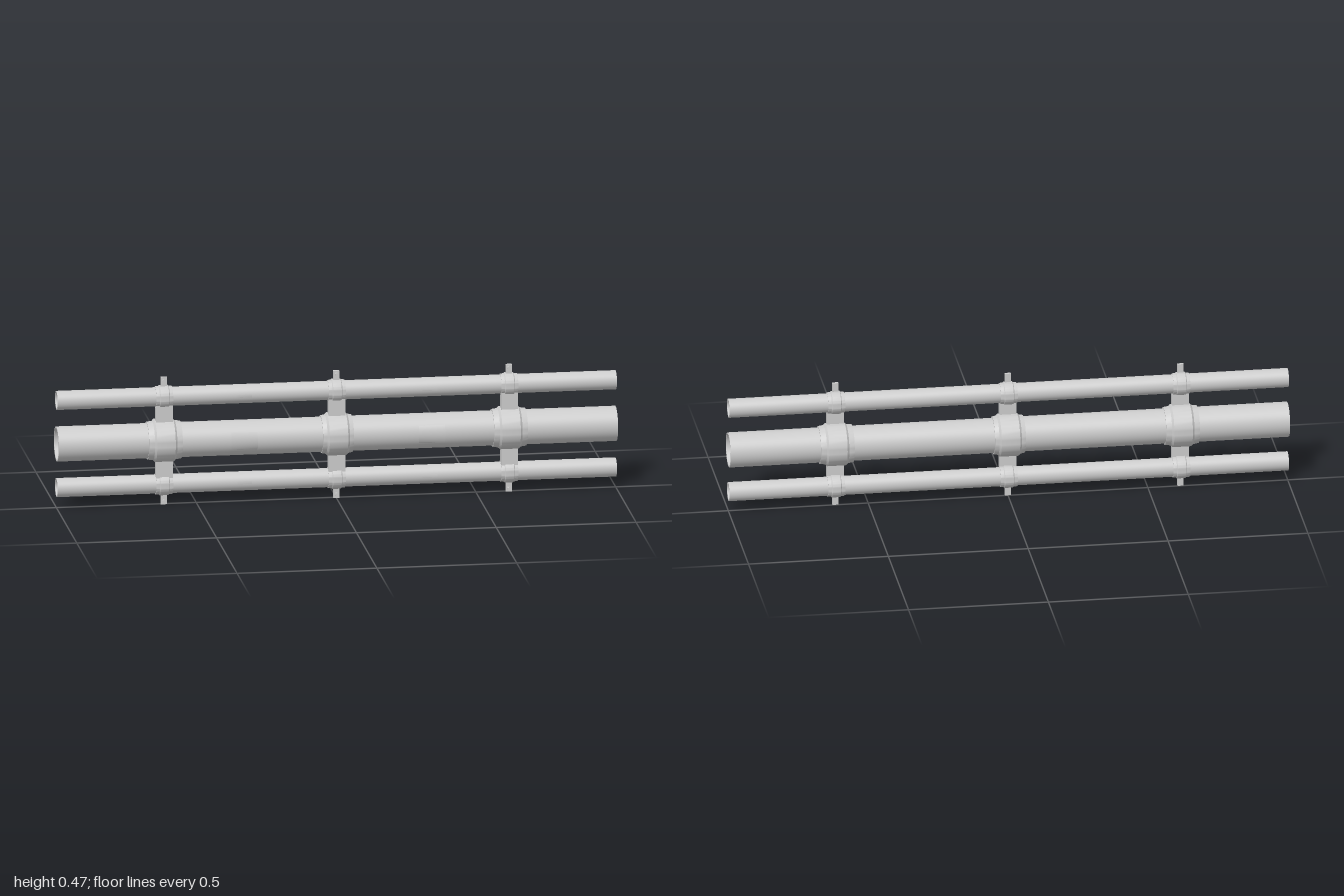
import * as THREE from 'three';
import { toCreasedNormals } from 'three/addons/utils/BufferGeometryUtils.js';

const MID = 0.2325; // height of the main pipe axis
const ARM = 0.1595; // distance from the main axis to each side pipe
const grey = new THREE.MeshStandardMaterial({ color: 0xcccccc, side: THREE.DoubleSide });

function add(parent, name, geometry) {
  const mesh = new THREE.Mesh(geometry, grey);
  mesh.name = name;
  parent.add(mesh);
  return mesh;
}

// open cylinder patch along x; angle 0 faces the front
function tubePatch(x0, x1, r0, r1, start = 0, sweep = Math.PI * 2) {
  const g = new THREE.CylinderGeometry(r1, r0, x1 - x0, 56, 1, true, start, sweep);
  return g.rotateZ(-Math.PI / 2).translate((x0 + x1) / 2, 0, 0);
}

// solid of revolution about x from [x, radius] pairs
function turned(profile) {
  const g = new THREE.LatheGeometry(profile.map(([x, r]) => new THREE.Vector2(r, x)), 56);
  return toCreasedNormals(g.rotateZ(-Math.PI / 2), 0.35);
}

// hollow pipe with two spring tongues pressed into its front wall
function pipe(name, y, rOut, rIn, xa, xb, angle, half) {
  const group = new THREE.Group();
  group.name = name;
  group.position.y = y;
  for (const [a, b] of [[-1, -xb], [-xa, xa], [xb, 1]]) {
    add(group, 'pipeWall', tubePatch(a, b, rOut, rOut));
  }
  const sunk = rIn + (rOut - rIn) * 0.15;
  for (const s of [-1, 1]) {
    const a = s < 0 ? -xb : xa, b = s < 0 ? -xa : xb;
    add(group, 'slottedWall', tubePatch(a, b, rOut, rOut, angle + half, Math.PI * 2 - 2 * half));
    add(group, 'tongue', tubePatch(a, b, s < 0 ? rOut : sunk, s < 0 ? sunk : rOut, angle - half, 2 * half));
  }
  add(group, 'bore', tubePatch(-1, 1, rIn, rIn));
  for (const s of [-1, 1]) {
    const rim = new THREE.RingGeometry(rIn, rOut, 56).rotateY(s * Math.PI / 2).translate(s, 0, 0);
    add(group, 'rim', rim);
  }
  return group;
}

// flat web whose ends follow the main and side collars
function webGeometry(width) {
  const depth = 0.027, rMain = 0.069, rSide = 0.038;
  const shape = new THREE.Shape();
  shape.absarc(0, 0, rMain, Math.PI / 2, Math.acos(depth / rMain), true);
  shape.absarc(0, ARM, rSide, -Math.acos(depth / rSide), -Math.PI / 2, true);
  shape.closePath();
  const g = new THREE.ExtrudeGeometry(shape, { depth: width, bevelEnabled: false, curveSegments: 12 });
  return toCreasedNormals(g.translate(0, 0, -width / 2).rotateY(-Math.PI / 2), 0.4);
}

// side pipe holder: web, collar, end tab and bolt
function holder() {
  const group = new THREE.Group();
  group.name = 'sideHolder';
  add(group, 'web', webGeometry(0.06));
  const collar = add(group, 'sideCollar', turned([
    [-0.03, 0.0335], [-0.03, 0.037], [-0.018, 0.038], [-0.015, 0.041],
    [0.015, 0.041], [0.018, 0.038], [0.03, 0.037], [0.03, 0.0335],
  ]));
  collar.position.y = ARM;
  const tab = add(group, 'endTab', new THREE.BoxGeometry(0.022, 0.0345, 0.01));
  tab.position.set(0, 0.21525, 0.005);
  const washer = add(group, 'washer', new THREE.CylinderGeometry(0.0075, 0.0075, 0.002, 20).rotateX(Math.PI / 2));
  washer.position.set(0, 0.2205, 0.011);
  const bolt = add(group, 'boltHead',
    toCreasedNormals(new THREE.CylinderGeometry(0.006, 0.006, 0.006, 6).rotateX(Math.PI / 2), 0.4));
  bolt.position.set(0, 0.2205, 0.015);
  return group;
}

// full clamp around all three pipes
function clamp(x, w) {
  const group = new THREE.Group();
  group.name = 'clamp';
  group.position.set(x, MID, 0);
  add(group, 'mainCollar', turned([
    [-w, 0.0615], [-w, 0.067], [-0.04, 0.07], [-0.033, 0.077],
    [0.033, 0.077], [0.04, 0.07], [w, 0.067], [w, 0.0615],
  ]));
  for (const turn of [0, Math.PI]) {
    const side = holder();
    side.rotation.z = turn; // half turn gives the lower holder
    group.add(side);
  }
  return group;
}

export function createModel() {
  const model = new THREE.Group();
  model.name = 'tripleConduit';
  model.add(pipe('mainPipe', MID, 0.0625, 0.0565, 0.288, 0.382, 0, 0.54));
  model.add(pipe('upperPipe', MID + ARM, 0.034, 0.029, 0.305, 0.358, 0.04, 0.16));
  model.add(pipe('lowerPipe', MID - ARM, 0.034, 0.029, 0.305, 0.358, -0.04, 0.16));
  for (const [x, w] of [[-0.617, 0.06], [0, 0.055], [0.617, 0.06]]) model.add(clamp(x, w));
  return model;
}
